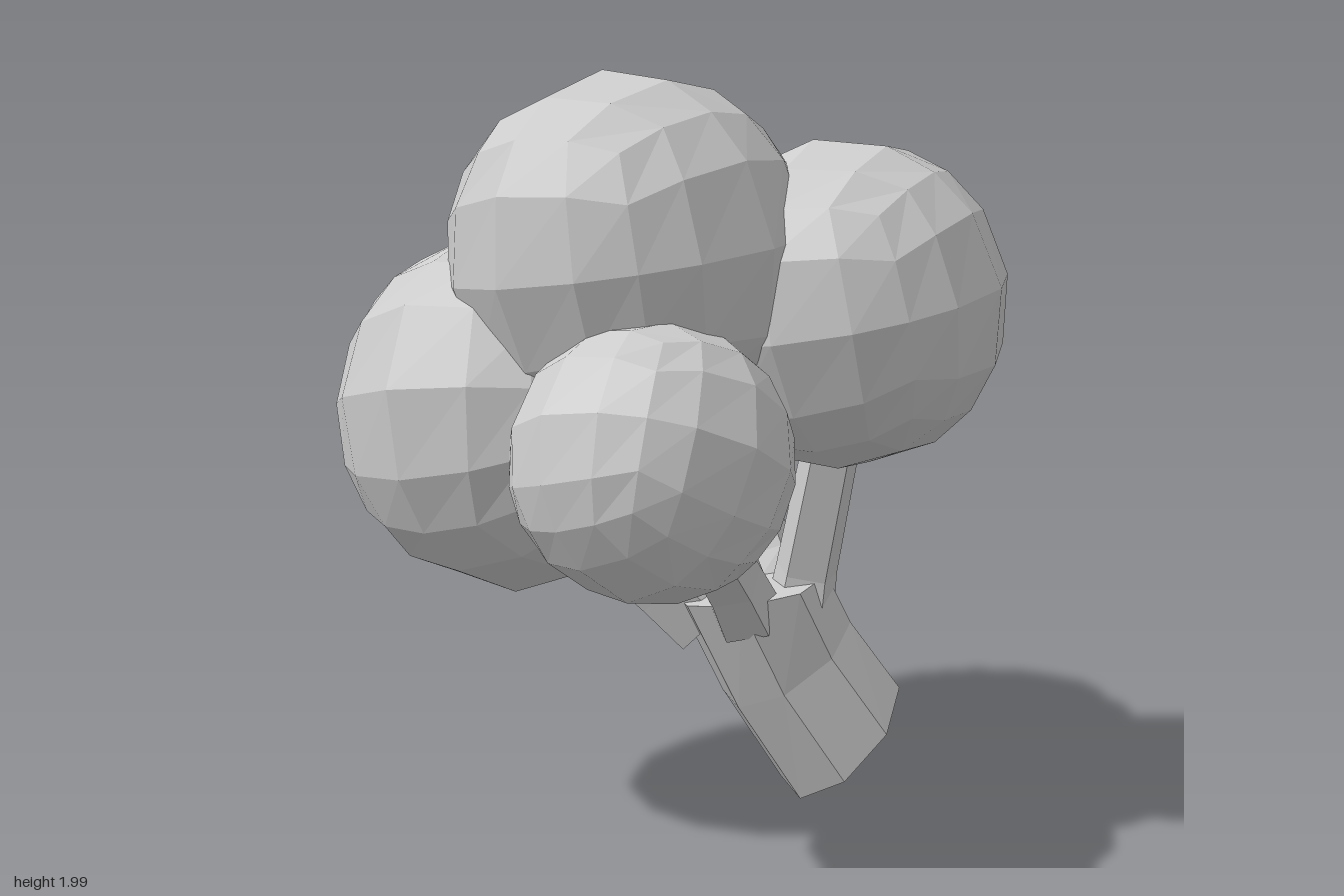
import * as THREE from 'three';
import { mergeVertices } from 'three/addons/utils/BufferGeometryUtils.js';

const material = new THREE.MeshStandardMaterial({ color: 0xcccccc, flatShading: true });
const UP = new THREE.Vector3(0, 1, 0);

// Low-poly ball with quad-like facets: a subdivided cube pushed onto a sphere
function ballGeometry(radius, [rx, ry, rz]) {
  let geo = new THREE.BoxGeometry(2, 2, 2, 4, 4, 4);
  geo.deleteAttribute('normal');
  geo.deleteAttribute('uv');
  geo = mergeVertices(geo);
  const pos = geo.attributes.position;
  const v = new THREE.Vector3();
  for (let i = 0; i < pos.count; i++) {
    v.fromBufferAttribute(pos, i).normalize().multiplyScalar(radius);
    pos.setXYZ(i, v.x, v.y, v.z);
  }
  geo.rotateX(rx).rotateY(ry).rotateZ(rz);
  geo.computeVertexNormals();
  return geo;
}

// Closed tube through stations { at, r, normal? }; each ring is square to its normal
function loft(stations, sides, turn = 0) {
  const verts = [], index = [];
  const points = stations.map((s) => new THREE.Vector3(...s.at));
  stations.forEach((s, k) => {
    const normal = s.normal
      ? new THREE.Vector3(...s.normal)
      : points[Math.min(k + 1, points.length - 1)].clone().sub(points[Math.max(k - 1, 0)]);
    const q = new THREE.Quaternion().setFromUnitVectors(UP, normal.normalize());
    for (let i = 0; i < sides; i++) {
      const a = turn + (i / sides) * Math.PI * 2;
      const p = new THREE.Vector3(Math.cos(a) * s.r, 0, Math.sin(a) * s.r).applyQuaternion(q).add(points[k]);
      verts.push(p.x, p.y, p.z);
    }
  });
  const last = (stations.length - 1) * sides;
  for (let k = 0; k < last; k += sides) {
    for (let i = 0; i < sides; i++) {
      const a = k + i, b = k + ((i + 1) % sides);
      index.push(a, a + sides, b, b, a + sides, b + sides);
    }
  }
  for (let i = 1; i < sides - 1; i++) {
    index.push(0, i, i + 1);
    index.push(last, last + i + 1, last + i);
  }
  const geo = new THREE.BufferGeometry();
  geo.setAttribute('position', new THREE.Float32BufferAttribute(verts, 3));
  geo.setIndex(index);
  geo.computeVertexNormals();
  return geo;
}

// Florets: centre, radius, tilt
const florets = [
  ['topFloret', [0, 1.55, 0.25], 0.455, [0.15, -0.08, 0.05]],
  ['frontRightFloret', [-0.33, 1.145, 0.3], 0.475, [-0.2, 0.02, 0.12]],
  ['frontLeftFloret', [0.25, 1.085, 0.485], 0.335, [-0.45, -0.15, 0.2]],
  ['leftFloret', [0.375, 1.425, -0.155], 0.425, [0.2, 0.1, 0.12]],
  ['backFloret', [-0.3, 1.275, -0.455], 0.37, [0.35, 0.3, -0.1]],
  ['innerFloret', [-0.235, 1.55, -0.2], 0.31, [0.2, 0.15, 0.1]],
  ['tinyFloret', [-0.6, 1.06, -0.21], 0.155, [0.2, 0.4, 0.3]],
];

// Branches: start, middle and end, with start and end radius
const branches = [
  ['frontLeftBranch', [0.12, 0.58, -0.1], [0.15, 0.7, 0.02], [0.24, 0.95, 0.33], 0.1, 0.075],
  ['leftBranch', [0.18, 0.56, -0.28], [0.2, 0.68, -0.28], [0.31, 1.1, -0.24], 0.1, 0.08],
  ['backBranch', [0.04, 0.56, -0.34], [0, 0.68, -0.38], [-0.22, 1.08, -0.44], 0.1, 0.08],
  ['frontRightBranch', [-0.06, 0.53, -0.14], [-0.14, 0.64, -0.06], [-0.34, 0.9, 0.14], 0.12, 0.11],
  ['tinyBranch', [-0.08, 0.58, -0.2], [-0.2, 0.68, -0.18], [-0.55, 1.02, -0.2], 0.07, 0.05],
  ['innerBranch', [0.04, 0.55, -0.2], [-0.02, 0.72, -0.18], [-0.12, 1.3, -0.02], 0.1, 0.08],
];

export function createModel() {
  const model = new THREE.Group();
  model.name = 'broccoli';
  const add = (name, geo) => {
    const mesh = new THREE.Mesh(geo, material);
    mesh.name = name;
    model.add(mesh);
    return mesh;
  };

  for (const [name, centre, radius, tilt] of florets) {
    add(name, ballGeometry(radius, tilt)).position.set(...centre);
  }

  // Leaning stalk, cut at a slant at the bottom
  add('stalk', loft([
    { at: [0.22, 0.167, -0.44], r: 0.23, normal: [-0.45, 0.69, 0.56] },
    { at: [0.115, 0.41, -0.31], r: 0.215, normal: [-0.35, 0.82, 0.45] },
    { at: [0.055, 0.635, -0.21], r: 0.22, normal: [-0.1, 0.97, 0.12] },
  ], 8, 0.3));

  for (const [name, a, b, c, r0, r1] of branches) {
    add(name, loft([{ at: a, r: r0 }, { at: b, r: (r0 + r1) / 2 }, { at: c, r: r1 }], 5, 0.4));
  }
  return model;
}
